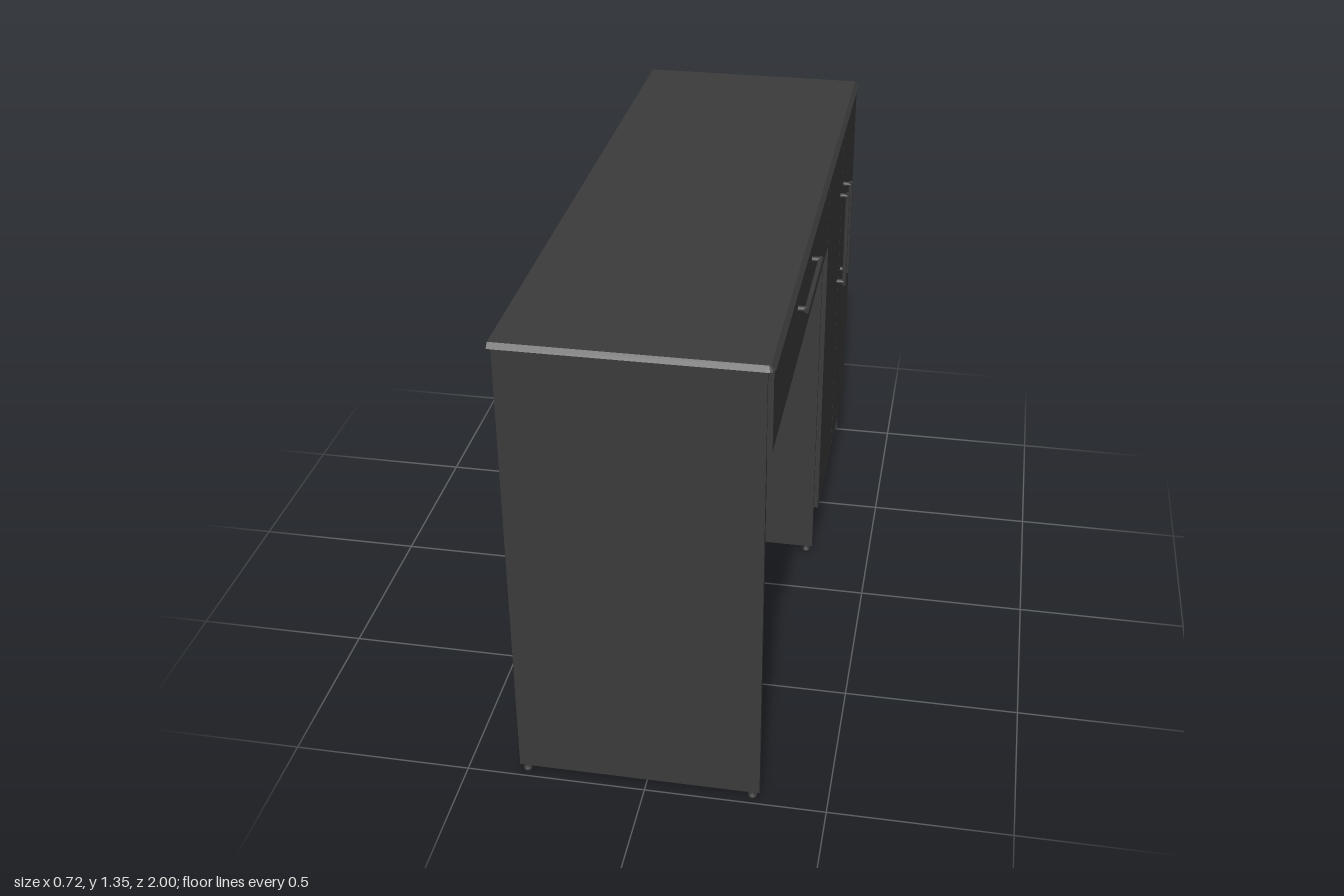
import * as THREE from 'three';

const graphite = new THREE.MeshStandardMaterial({ color: 0x3b3b3b });
graphite.name = 'graphite board';
const brown = new THREE.MeshStandardMaterial({ color: 0x46382a });
brown.name = 'brown hardboard';

// Box given by its [min, max] range on each axis
function board(name, x, y, z, material = graphite) {
  const geometry = new THREE.BoxGeometry(x[1] - x[0], y[1] - y[0], z[1] - z[0]);
  const mesh = new THREE.Mesh(geometry, material);
  mesh.position.set((x[0] + x[1]) / 2, (y[0] + y[1]) / 2, (z[0] + z[1]) / 2);
  mesh.name = name;
  return mesh;
}

// Worktop outline: straight back, rounded front corners, moved in by `inset`
function outline(inset) {
  const r = 0.02, points = [[-0.36, 1 - inset]];
  for (const side of [1, -1]) {
    for (let i = 0; i <= 4; i++) {
      const a = (side > 0 ? 4 - i : i) / 4 * Math.PI / 2;
      points.push([
        0.335 - r + (r - inset) * Math.cos(a),
        side * (1 - r + (r - inset) * Math.sin(a)),
      ]);
    }
  }
  points.push([-0.36, -1 + inset]);
  return points;
}

// Worktop with an edge chamfered above and below on three sides
function worktop() {
  const rings = [[1.33, 0.014], [1.337, 0], [1.35, 0.012]].map(([y, inset]) =>
    outline(inset).map(([x, z]) => [x, y, z]));
  const positions = [];
  const face = (...corners) => corners.forEach((c) => positions.push(...c));
  const n = rings[0].length;
  for (let k = 0; k < 2; k++) {
    for (let i = 0; i < n; i++) {
      const j = (i + 1) % n, low = rings[k], high = rings[k + 1];
      face(low[i], low[j], high[j]);
      face(low[i], high[j], high[i]);
    }
  }
  for (let i = 1; i < n - 1; i++) {
    face(rings[2][0], rings[2][i], rings[2][i + 1]);
    face(rings[0][0], rings[0][i + 1], rings[0][i]);
  }
  const geometry = new THREE.BufferGeometry();
  geometry.setAttribute('position', new THREE.Float32BufferAttribute(positions, 3));
  geometry.computeVertexNormals();
  const mesh = new THREE.Mesh(geometry, graphite);
  mesh.name = 'worktop';
  return mesh;
}

// Upright bar handle: a round bar on two posts
function handle(name, y, z) {
  const group = new THREE.Group();
  group.name = name;
  const bar = new THREE.Mesh(new THREE.CylinderGeometry(0.007, 0.007, 0.32, 12), graphite);
  bar.position.x = 0.353;
  group.add(bar);
  for (const side of [-1, 1]) {
    const post = new THREE.Mesh(new THREE.CylinderGeometry(0.008, 0.008, 0.024, 12), graphite);
    post.rotation.z = Math.PI / 2;
    post.position.set(0.341, side * 0.15, 0);
    group.add(post);
  }
  group.position.set(0, y, z);
  return group;
}

// Small glide foot: narrow neck over a wider pad
function foot(x, z) {
  const profile = [[0, 0], [0.01, 0], [0.012, 0.004], [0.012, 0.01], [0.007, 0.013], [0.007, 0.021]];
  const mesh = new THREE.Mesh(
    new THREE.LatheGeometry(profile.map(([r, y]) => new THREE.Vector2(r, y)), 12), graphite);
  mesh.position.set(x, 0, z);
  mesh.name = 'foot';
  return mesh;
}

export function createModel() {
  const desk = new THREE.Group();
  desk.name = 'desk';
  desk.add(worktop());

  // Three upright panels, each on two feet
  for (const [name, z] of [['legPanel', 0.9725], ['cabinetInnerSide', -0.2085], ['cabinetOuterSide', -0.9725]]) {
    desk.add(board(name, [-0.355, 0.315], [0.02, 1.33], [z - 0.0075, z + 0.0075]));
    desk.add(foot(-0.335, z), foot(0.295, z));
  }

  // Cabinet
  desk.add(
    board('cabinetBack', [-0.36, -0.355], [0.03, 1.33], [-0.98, -0.201], brown),
    board('cabinetBottom', [-0.355, 0.314], [0.176, 0.191], [-0.965, -0.216]),
    board('plinth', [0.23, 0.245], [0.02, 0.176], [-0.965, -0.216]),
    board('leftDoor', [0.316, 0.33], [0.175, 1.329], [-0.977, -0.589]),
    board('rightDoor', [0.316, 0.33], [0.175, 1.329], [-0.585, -0.203]),
    handle('leftDoorHandle', 0.98, -0.637),
    handle('rightDoorHandle', 0.98, -0.543),
  );

  // Drawer and the panel closing the back of the knee space
  desk.add(
    board('drawerFront', [0.316, 0.33], [1.11, 1.329], [-0.199, 0.98]),
    board('drawerBottom', [-0.34, 0.316], [1.112, 1.118], [-0.201, 0.965], brown),
    board('modestyPanel', [-0.354, -0.34], [0.855, 1.325], [-0.201, 0.965]),
  );
  const drawerHandle = handle('drawerHandle', 1.272, 0.385);
  drawerHandle.rotation.x = Math.PI / 2;
  desk.add(drawerHandle);
  return desk;
}
